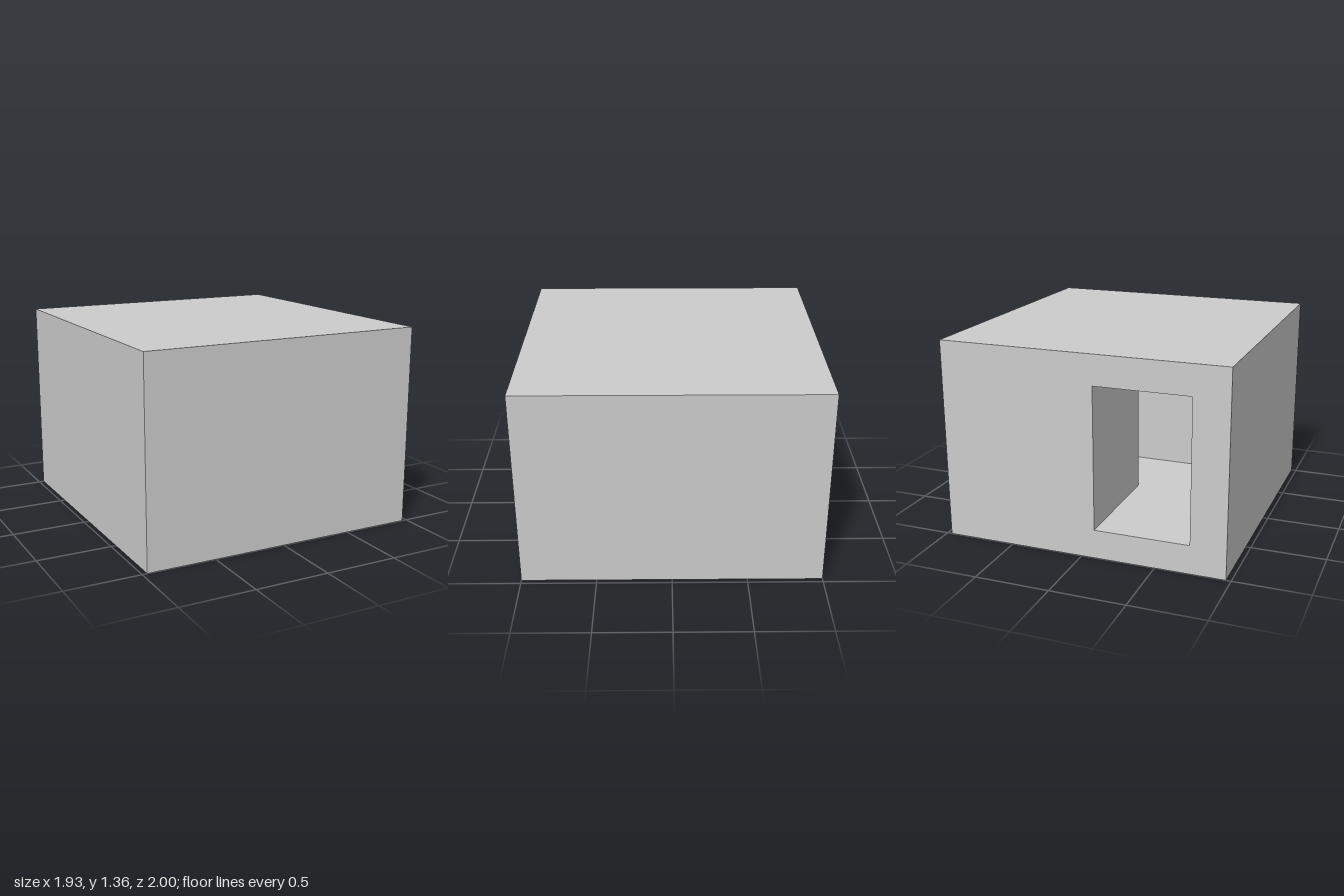
import * as THREE from 'three';

const W = 0.967, H = 1.357, D = 1;                     // half width, height, half depth
const DOOR = { x0: -0.73, x1: -0.09, y0: 0.195, y1: 1.155 };

// Plan of the passage and the room it opens into, walked from one door jamb to the other (x, z)
const PLAN = [
  [DOOR.x0, -D], [DOOR.x0, 0.36], [0.73, 0.36], [0.73, -0.185], [DOOR.x1, -0.185], [DOOR.x1, -D],
];

const material = new THREE.MeshStandardMaterial({ color: 0xcccccc, flatShading: true });

function addMesh(group, name, geometry) {
  const mesh = new THREE.Mesh(geometry, material);
  mesh.name = name;
  group.add(mesh);
  return mesh;
}

// Flat four-cornered panel, corners anticlockwise as seen from its front
function panel(a, b, c, d) {
  const geometry = new THREE.BufferGeometry();
  geometry.setAttribute('position', new THREE.Float32BufferAttribute([a, b, c, d].flat(), 3));
  geometry.setIndex([0, 1, 2, 0, 2, 3]);
  geometry.computeVertexNormals();
  return geometry;
}

const outline = (points) => new THREE.Shape(points.map(([x, y]) => new THREE.Vector2(x, y)));

// Vertical panel between two plan points, facing right of the walk from q to p
const upright = (p, q, y0, y1) =>
  panel([q[0], y0, q[1]], [p[0], y0, p[1]], [p[0], y1, p[1]], [q[0], y1, q[1]]);

export function createModel() {
  const model = new THREE.Group();
  model.name = 'blockBuilding';

  // Outer shell
  addMesh(model, 'frontWall', upright([W, D], [-W, D], 0, H));
  addMesh(model, 'leftWall', upright([W, -D], [W, D], 0, H));
  addMesh(model, 'rightWall', upright([-W, D], [-W, -D], 0, H));
  addMesh(model, 'roof', new THREE.PlaneGeometry(2 * W, 2 * D).rotateX(-Math.PI / 2).translate(0, H, 0));
  addMesh(model, 'base', new THREE.PlaneGeometry(2 * W, 2 * D).rotateX(Math.PI / 2));

  // Back wall with the doorway cut out (drawn mirrored, then turned to face back)
  const back = outline([[-W, 0], [W, 0], [W, H], [-W, H]]);
  const { x0, x1, y0, y1 } = DOOR;
  back.holes.push(outline([[-x0, y0], [-x1, y0], [-x1, y1], [-x0, y1]]));
  addMesh(model, 'backWall', new THREE.ShapeGeometry(back).rotateY(Math.PI).translate(0, 0, -D));

  // Interior: walls along the plan, floor and ceiling
  const interior = new THREE.Group();
  interior.name = 'interior';
  for (let i = 0; i < PLAN.length - 1; i++) {
    addMesh(interior, 'interiorWall' + (i + 1), upright(PLAN[i], PLAN[i + 1], y0, y1));
  }
  const floor = new THREE.ShapeGeometry(outline(PLAN.map(([x, z]) => [x, -z])));
  addMesh(interior, 'floor', floor.rotateX(-Math.PI / 2).translate(0, y0, 0));
  const ceiling = new THREE.ShapeGeometry(outline(PLAN));
  addMesh(interior, 'ceiling', ceiling.rotateX(Math.PI / 2).translate(0, y1, 0));
  model.add(interior);

  return model;
}
